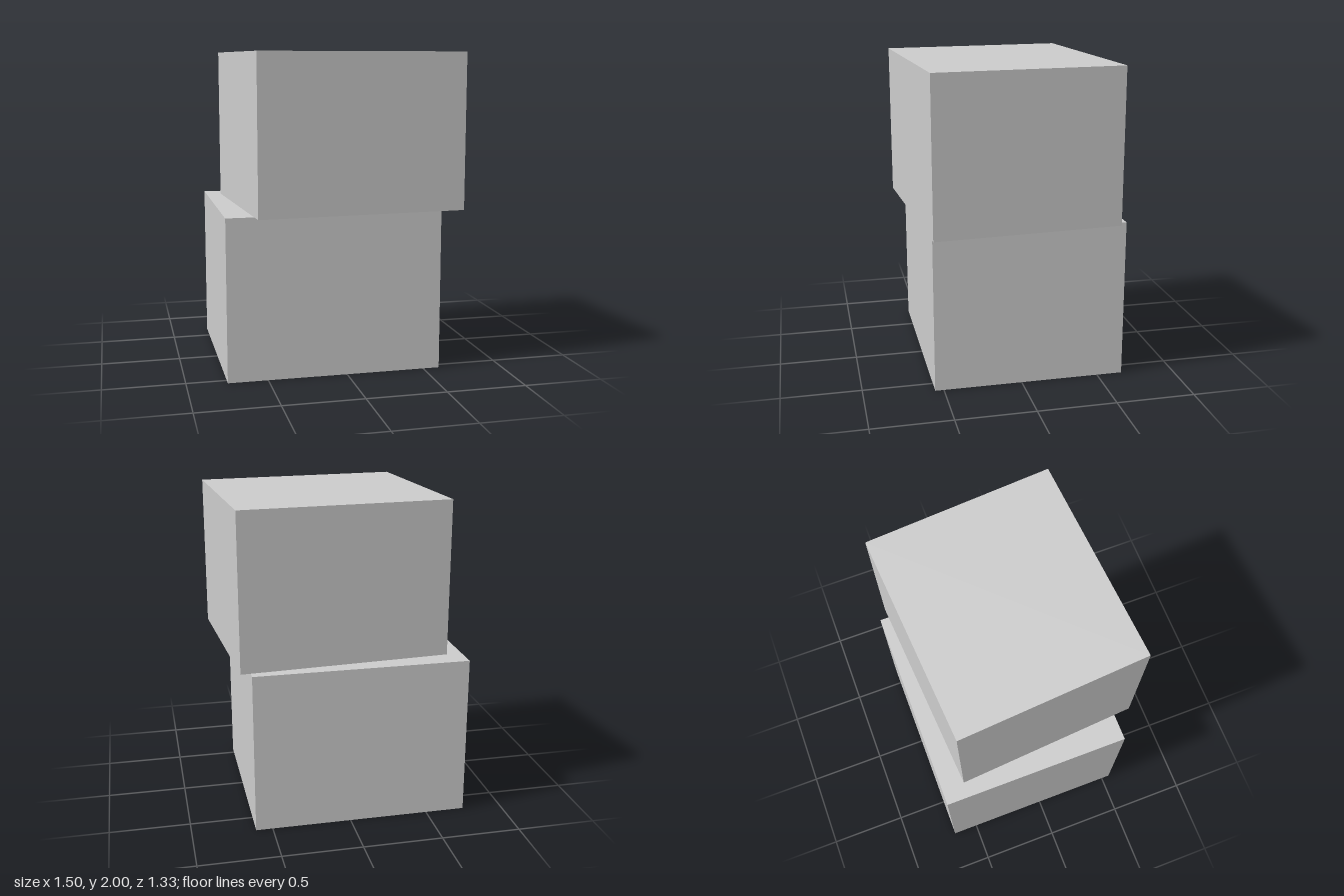
import * as THREE from 'three';

export function createModel() {
  const group = new THREE.Group();
  const material = new THREE.MeshStandardMaterial({ color: 0xcccccc });

  // Adds a box resting on height y, turned about the vertical axis
  const addBox = (name, [w, h, d], [x, y, z], turn = 0) => {
    const box = new THREE.Mesh(new THREE.BoxGeometry(w, h, d), material);
    box.name = name;
    box.position.set(x, y + h / 2, z);
    box.rotation.y = THREE.MathUtils.degToRad(turn);
    group.add(box);
  };

  // Two stacked boxes, the upper one shifted and slightly turned
  addBox('lowerBox', [1.355, 1.018, 1.22], [-0.0725, 0, -0.055]);
  addBox('upperBox', [1.321, 0.982, 1.183], [0.049, 1.018, 0.025], 4);

  return group;
}
